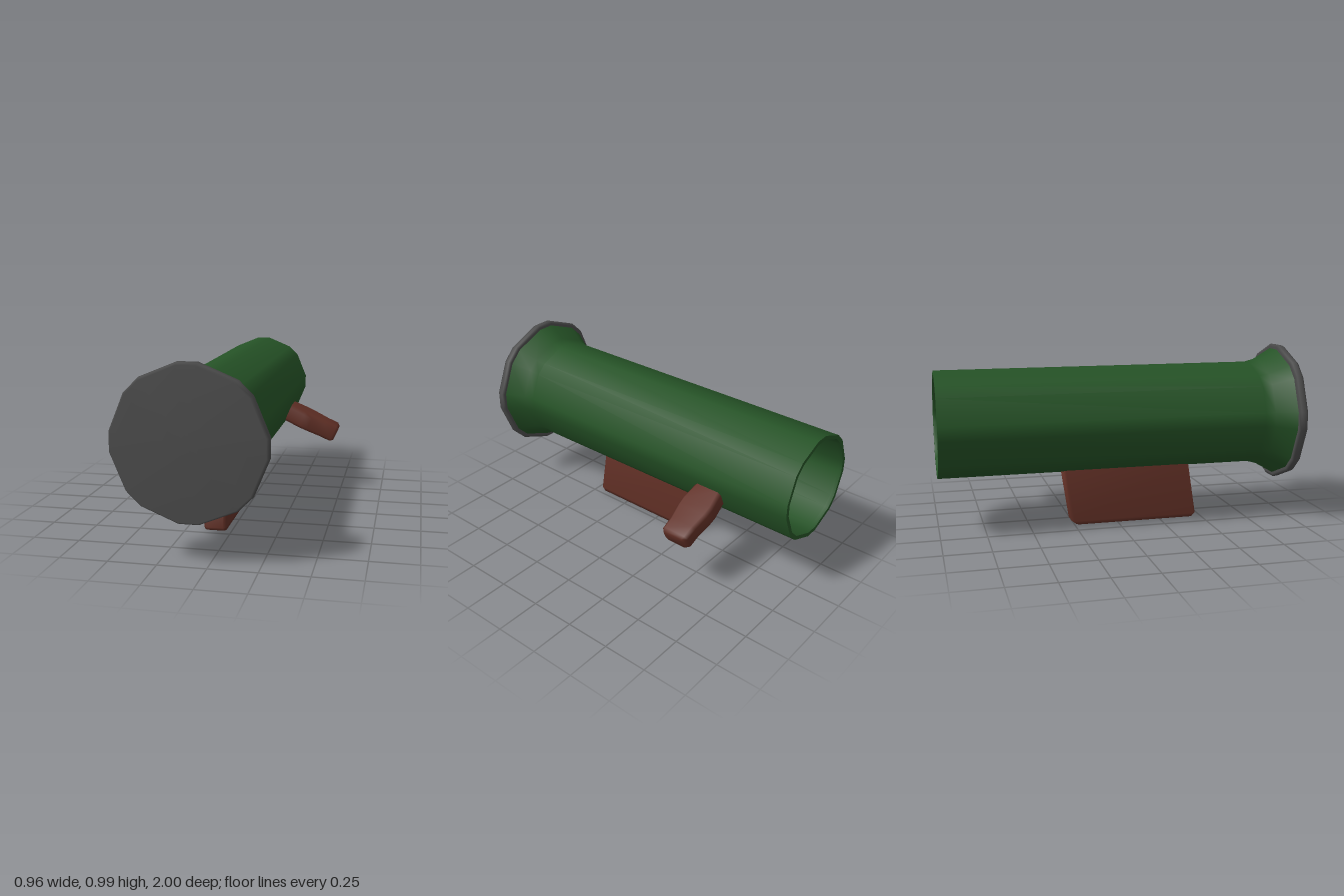
import * as THREE from 'three';

// Skin of counter-clockwise rings [[x, y], ...] stacked along z, optionally capped
function loft(rings, capStart = false, capEnd = false) {
  const pos = [], idx = [], n = rings[0].pts.length;
  rings.forEach(({ pts, z }) => pts.forEach(([x, y]) => pos.push(x, y, z)));
  for (let i = 0; i < rings.length - 1; i++) {
    for (let j = 0; j < n; j++) {
      const k = (j + 1) % n;
      const a = i * n + j, b = i * n + k, c = b + n, d = a + n;
      idx.push(a, b, c, a, c, d);
    }
  }
  const cap = (row, flip) => {
    const { pts, z } = rings[row], centre = pos.length / 3, base = row * n;
    const cx = pts.reduce((s, p) => s + p[0], 0) / n;
    const cy = pts.reduce((s, p) => s + p[1], 0) / n;
    pos.push(cx, cy, z);
    for (let j = 0; j < n; j++) {
      const a = base + j, b = base + (j + 1) % n;
      idx.push(centre, flip ? b : a, flip ? a : b);
    }
  };
  if (capStart) cap(0, true);
  if (capEnd) cap(rings.length - 1, false);
  const geo = new THREE.BufferGeometry();
  geo.setAttribute('position', new THREE.Float32BufferAttribute(pos, 3));
  geo.setIndex(idx);
  geo.computeVertexNormals();
  return geo;
}

// Octagon with bevelled corners; r is the half width across flats
function octRing(r, z) {
  const bevel = THREE.MathUtils.degToRad(7.4), pts = [];
  for (let k = 0; k < 8; k++) {
    for (const s of [-1, 1]) {
      const a = k * Math.PI / 4 + s * bevel, R = r / Math.cos(bevel);
      pts.push([R * Math.cos(a), R * Math.sin(a)]);
    }
  }
  return { pts, z };
}

// Rectangle with chamfered corners
function boxRing(hx, hy, z, c, cy = 0) {
  const pts = [
    [hx, -hy + c], [hx, hy - c], [hx - c, hy], [-hx + c, hy],
    [-hx, hy - c], [-hx, -hy + c], [-hx + c, -hy], [hx - c, -hy],
  ].map(([x, y]) => [x, y + cy]);
  return { pts, z };
}

export function createModel() {
  const green = new THREE.MeshStandardMaterial({ color: 0x255226 });
  green.name = 'dark green';
  const grey = new THREE.MeshStandardMaterial({ color: 0x4b4b4b });
  grey.name = 'dark grey';
  const brown = new THREE.MeshStandardMaterial({ color: 0x602f25 });
  brown.name = 'reddish brown';

  const model = new THREE.Group();
  const add = (parent, name, geo, mat) => {
    const mesh = new THREE.Mesh(geo, mat);
    mesh.name = name;
    parent.add(mesh);
    return mesh;
  };

  // Barrel: hollow, open at the back and flared at the front
  const barrel = new THREE.Group();
  barrel.name = 'barrel';
  barrel.position.set(-0.09, 0.598, 0);
  model.add(barrel);
  add(barrel, 'outerTube', loft([
    octRing(0.29, -1), octRing(0.29, 0.79), octRing(0.305, 0.845), octRing(0.367, 0.955),
  ]), green);
  add(barrel, 'backRim', loft([octRing(0.268, -1), octRing(0.29, -1)]), green);
  add(barrel, 'innerTube', loft([
    octRing(0.262, 0.955), octRing(0.262, -0.98), octRing(0.268, -1),
  ]), green);

  // Front cap: thin plate with a softened rim
  add(barrel, 'frontCap', loft([
    octRing(0.375, 0.95), octRing(0.39, 0.957), octRing(0.387, 0.985), octRing(0.376, 1),
  ], true, true), grey);

  // Bottom grip: slanted block, lofted upward (local y is world -z)
  const grip = loft([
    boxRing(0.058, 0.345, 0, 0.012, -0.107),
    boxRing(0.06, 0.3675, 0.02, 0.015, -0.1025),
    boxRing(0.06, 0.3675, 0.326, 0.015, -0.055),
  ], true, true);
  grip.rotateX(-Math.PI / 2);
  add(model, 'bottomGrip', grip, brown).position.x = -0.09;

  // Side handle: stubby bar sticking out radially, widest near its root
  const handle = loft([
    boxRing(0.078, 0.05, 0.235, 0.016),
    boxRing(0.082, 0.053, 0.27, 0.018),
    boxRing(0.097, 0.053, 0.38, 0.018),
    boxRing(0.095, 0.052, 0.43, 0.018),
    boxRing(0.082, 0.05, 0.52, 0.018),
    boxRing(0.08, 0.05, 0.588, 0.018),
    boxRing(0.066, 0.037, 0.606, 0.014),
  ], true, true);
  const a = THREE.MathUtils.degToRad(-24);
  const dir = new THREE.Vector3(Math.cos(a), Math.sin(a), 0);
  const side = new THREE.Vector3(0, 0, 1);
  handle.applyMatrix4(new THREE.Matrix4().makeBasis(side, dir.clone().cross(side), dir));
  add(barrel, 'sideHandle', handle, brown).position.z = -0.51;

  return model;
}
